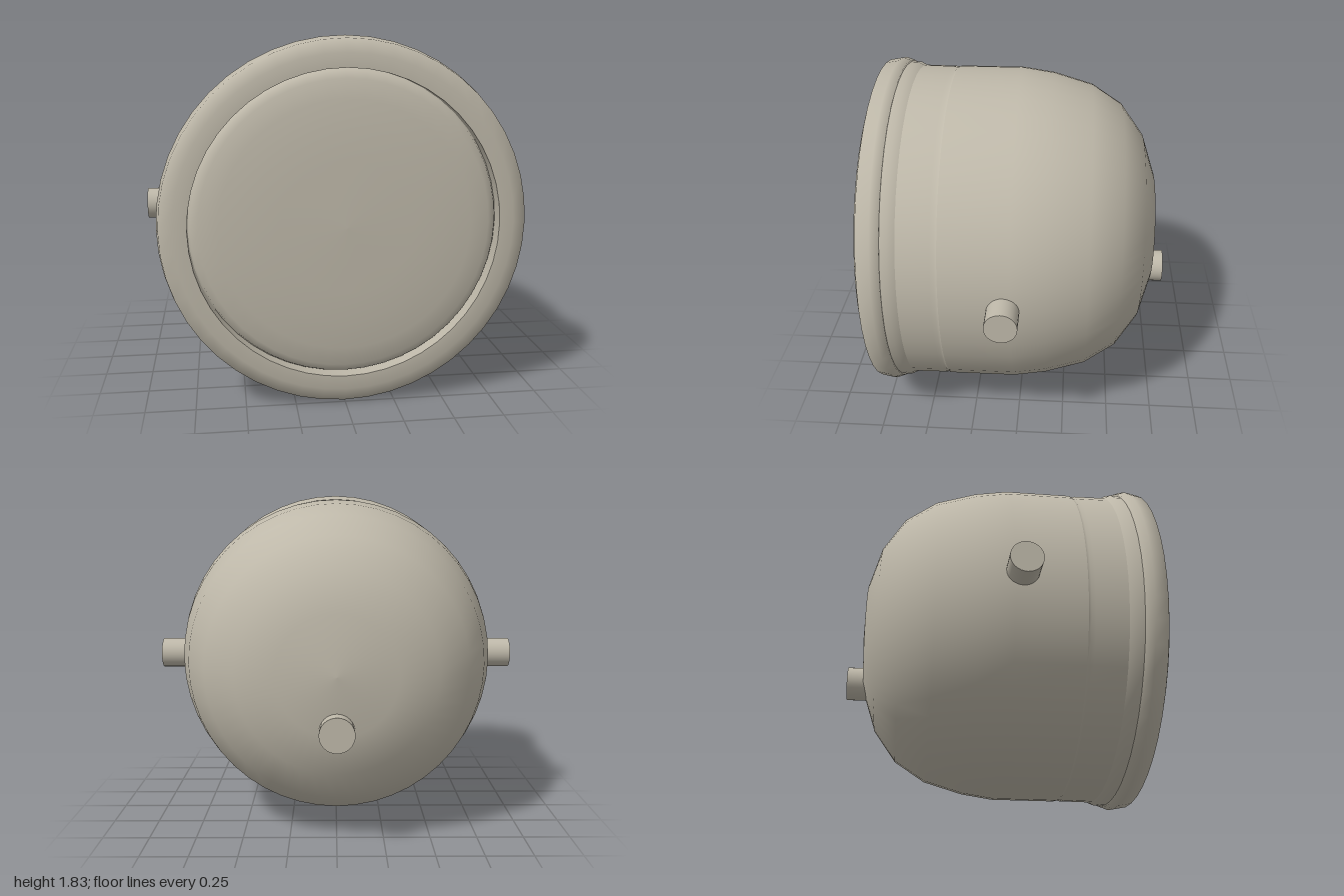
import * as THREE from 'three';

export function createModel() {
  const model = new THREE.Group();
  const metal = new THREE.MeshStandardMaterial({ color: 0xbeb8a9 });
  metal.name = 'warm grey';
  const centreY = 0.92;

  // Turned part: [radius, z] pairs, listed so that the outside faces out
  function turned(name, profile) {
    const geo = new THREE.LatheGeometry(profile.map(([r, z]) => new THREE.Vector2(r, z)), 48);
    geo.rotateX(Math.PI / 2);
    const mesh = new THREE.Mesh(geo, metal);
    mesh.name = name;
    mesh.position.y = centreY;
    model.add(mesh);
  }

  // Round peg between two points
  function peg(name, from, to, radius) {
    const a = new THREE.Vector3(...from), b = new THREE.Vector3(...to);
    const mesh = new THREE.Mesh(new THREE.CylinderGeometry(radius, radius, a.distanceTo(b), 32), metal);
    mesh.name = name;
    mesh.position.copy(a).lerp(b, 0.5);
    mesh.quaternion.setFromUnitVectors(new THREE.Vector3(0, 1, 0), b.sub(a).normalize());
    model.add(mesh);
  }

  // Domed housing
  turned('domedBody', [
    [0, -0.735], [0.31, -0.715], [0.52, -0.645], [0.685, -0.525],
    [0.79, -0.36], [0.85, -0.15], [0.875, 0.02], [0.875, 0.37],
  ]);

  // Shallow groove and straight neck in front of the dome
  turned('neck', [
    [0.875, 0.37], [0.868, 0.385], [0.873, 0.405], [0.875, 0.57],
  ]);
  turned('collar', [[0.875, 0.57], [0.892, 0.605], [0.892, 0.65]]);

  // Rounded front rim with a recessed inner wall
  turned('rim', [
    [0.88, 0.64], [0.9, 0.642], [0.915, 0.685], [0.902, 0.755], [0.835, 0.778], [0.765, 0.778],
  ]);
  turned('rimInnerWall', [[0.765, 0.778], [0.765, 0.69]]);

  // Gently bulging front cover
  turned('frontCover', [
    [0.765, 0.7], [0.752, 0.73], [0.715, 0.752], [0.62, 0.77],
    [0.48, 0.781], [0.33, 0.79], [0, 0.796],
  ]);

  // Side pivots and rear connector
  for (const [name, s] of [['leftPivot', 1], ['rightPivot', -1]]) {
    peg(name, [0.8 * s, centreY, 0.055], [s, centreY, 0.055], 0.082);
  }
  peg('rearConnector', [0, 0.645, -0.6], [0, 0.645, -0.803], 0.09);

  return model;
}
